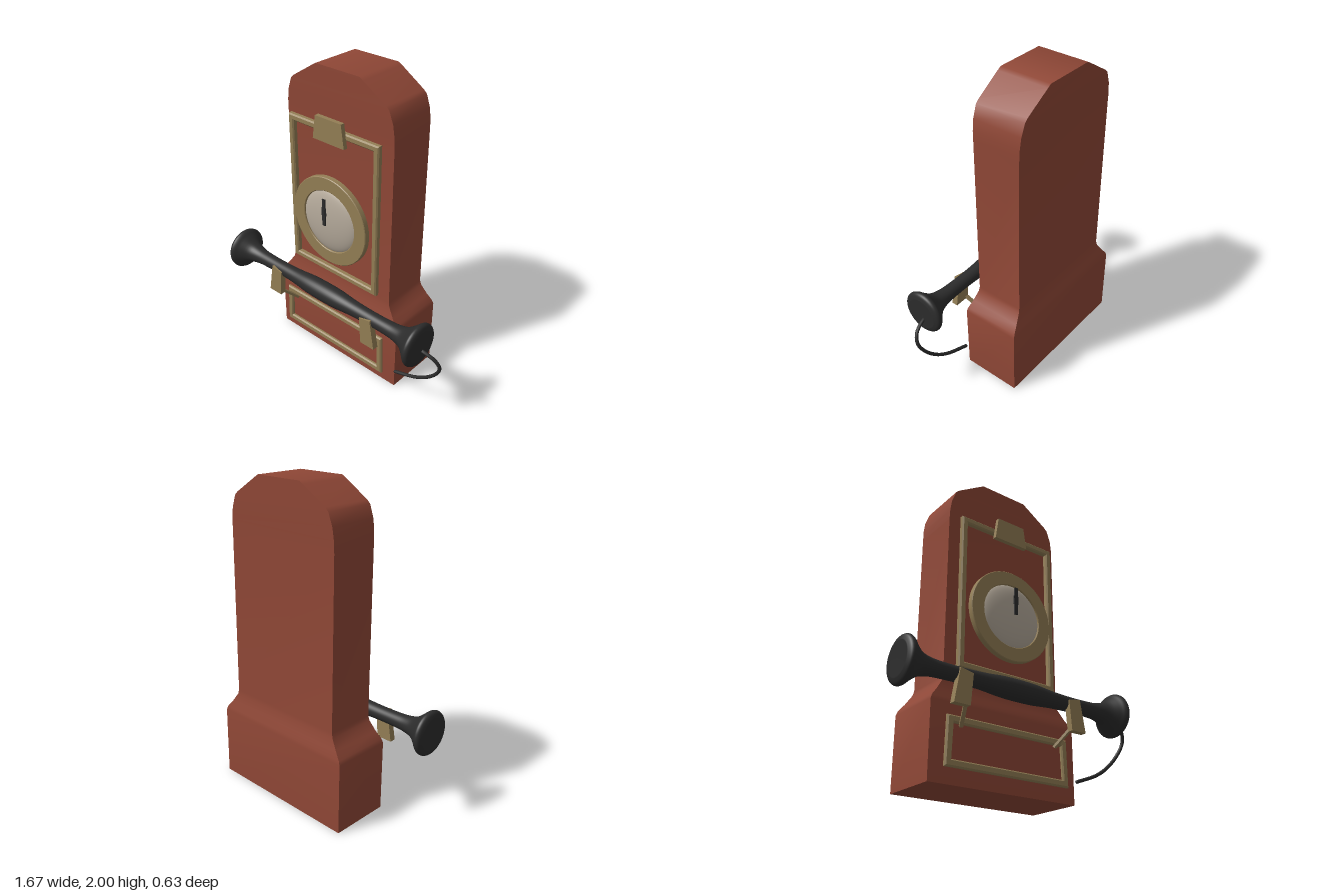
import * as THREE from 'three';
import { toCreasedNormals } from 'three/addons/utils/BufferGeometryUtils.js';

const CX = -0.057; // centre line of the case

function material(name, color) {
  const m = new THREE.MeshStandardMaterial({ color });
  m.name = name;
  return m;
}

// Rectangular sections [y, halfWidth, front z, back z] skinned into a solid
function loft(sections) {
  const rings = sections.map(([y, w, f, b]) => [
    [CX - w, y, f], [CX + w, y, f], [CX + w, y, b], [CX - w, y, b],
  ]);
  const pos = [];
  const quad = (a, b, c, d) => pos.push(...a, ...b, ...c, ...a, ...c, ...d);
  for (let i = 0; i < rings.length - 1; i++) {
    const lo = rings[i], hi = rings[i + 1];
    for (let k = 0; k < 4; k++) {
      const n = (k + 1) % 4;
      quad(lo[k], lo[n], hi[n], hi[k]);
    }
  }
  const bottom = rings[0], top = rings[rings.length - 1];
  quad(bottom[3], bottom[2], bottom[1], bottom[0]);
  quad(...top);
  const g = new THREE.BufferGeometry();
  g.setAttribute('position', new THREE.Float32BufferAttribute(pos, 3));
  return toCreasedNormals(g, 0.6);
}

const shapeOf = (pts) => new THREE.Shape(pts.map(([x, y]) => new THREE.Vector2(x, y)));

// Flat outline extruded from z0 to z1
function plate(shape, z0, z1, bevel = 0) {
  const g = new THREE.ExtrudeGeometry(shape, {
    depth: z1 - z0 - 2 * bevel, bevelEnabled: bevel > 0, bevelSize: bevel,
    bevelThickness: bevel, bevelOffset: -bevel, bevelSegments: 1, curveSegments: 48,
  });
  return g.translate(0, 0, z0 + bevel);
}

// Rectangular border whose top edge may be a little narrower
function border(wBottom, wTop, y0, y1, band) {
  const rect = (d) => [
    [CX - wBottom + d, y0 + d], [CX + wBottom - d, y0 + d],
    [CX + wTop - d, y1 - d], [CX - wTop + d, y1 - d],
  ];
  const s = shapeOf(rect(0));
  s.holes.push(new THREE.Path(rect(band).reverse().map(([x, y]) => new THREE.Vector2(x, y))));
  return s;
}

export function createModel() {
  const group = new THREE.Group();
  const red = material('red case', 0x8f4736);
  const brass = material('brass', 0x937e55);
  const black = material('black', 0x2c2c2c);
  const silver = material('silver', 0xb5aa9b);
  const add = (name, geometry, mat, parent = group) => {
    const mesh = new THREE.Mesh(geometry, mat);
    mesh.name = name;
    parent.add(mesh);
    return mesh;
  };

  // Case: wide base, sloped shoulder, tall body and chamfered crown
  add('case', loft([
    [0, 0.505, 0.065, -0.317],
    [0.45, 0.505, 0.065, -0.317],
    [0.475, 0.496, 0.061, -0.313],
    [0.52, 0.46, 0.047, -0.3],
    [0.58, 0.42, 0.034, -0.286],
    [0.61, 0.412, 0.031, -0.283],
    [1.65, 0.412, 0.031, -0.283],
    [1.72, 0.41, 0.033, -0.285],
    [1.79, 0.4, 0.035, -0.287],
    [1.865, 0.372, 0.037, -0.289],
    [1.885, 0.35, 0.037, -0.289],
    [1.985, 0.19, 0.04, -0.291],
    [2, 0.165, 0.04, -0.291],
  ]), red);

  // Brass borders and top tab
  add('upperFrame', plate(border(0.352, 0.352, 0.66, 1.667, 0.04), 0.055, 0.094, 0.008), brass);
  add('lowerFrame', plate(border(0.428, 0.42, 0.085, 0.368, 0.042), 0.083, 0.11, 0.008), brass);
  add('topTab', plate(shapeOf([
    [CX - 0.122, 1.585], [CX + 0.122, 1.585], [CX + 0.1, 1.732], [CX - 0.1, 1.732],
  ]), 0.092, 0.12), brass);

  // Dial: ring, domed face and pointer
  const dial = new THREE.Group();
  dial.name = 'dial';
  dial.position.set(CX, 1.066, 0);
  group.add(dial);
  const ring = new THREE.Shape().absarc(0, 0, 0.295, 0, Math.PI * 2);
  ring.holes.push(new THREE.Path().absarc(0, 0, 0.205, 0, Math.PI * 2, true));
  add('dialRing', toCreasedNormals(plate(ring, 0.088, 0.127, 0.004), 0.5), brass, dial);
  const dome = new THREE.SphereGeometry(0.217, 48, 16, 0, Math.PI * 2, 0, Math.PI / 2);
  dome.rotateX(Math.PI / 2).scale(1, 1, 0.24);
  add('dialFace', dome, silver, dial).position.z = 0.1;
  add('pointer', new THREE.BoxGeometry(0.022, 0.18, 0.009), black, dial).position.set(0, 0.084, 0.165);
  add('pointerWaist', new THREE.BoxGeometry(0.032, 0.055, 0.007), black, dial).position.set(0, 0.09, 0.165);

  // Handset: mirrored profile [distance from middle, radius] turned around x
  const half = [[0.12, 0.061], [0.25, 0.05], [0.4, 0.045], [0.53, 0.047], [0.6, 0.053],
    [0.66, 0.07], [0.71, 0.108], [0.735, 0.132], [0.753, 0.14], [0.771, 0.13], [0.781, 0.1]];
  const profile = [
    ...half.slice().reverse().map(([d, r]) => new THREE.Vector2(r, -d)),
    new THREE.Vector2(0.064, 0),
    ...half.map(([d, r]) => new THREE.Vector2(r, d)),
  ];
  const smooth = new THREE.SplineCurve(profile).getPoints(88);
  const outline = [new THREE.Vector2(0, -0.778), ...smooth, new THREE.Vector2(0, 0.778)];
  const handset = new THREE.LatheGeometry(outline, 40).rotateZ(-Math.PI / 2);
  add('handset', handset, black).position.set(CX, 0.568, 0.178);

  // Cradle hooks with their slanted arms
  for (const [side, name] of [[1, 'left'], [-1, 'right']]) {
    const pts = [[0.343, 0.575], [0.358, 0.39], [0.463, 0.39], [0.428, 0.592]]
      .map(([x, y]) => [CX + side * x, y]);
    add(name + 'Hook', plate(shapeOf(pts), 0.192, 0.232), brass);
    const from = new THREE.Vector3(CX + side * 0.372, 0.41, 0.205);
    const to = new THREE.Vector3(CX + side * 0.33, 0.312, 0.1);
    const arm = add(name + 'Arm', new THREE.BoxGeometry(0.022, 0.016, from.distanceTo(to)), brass);
    arm.position.copy(from).lerp(to, 0.5);
    arm.lookAt(to);
  }

  // Cord from the handset end back to the base
  const cord = new THREE.CatmullRomCurve3([
    [0.7, 0.532, 0.168], [0.74, 0.522, 0.163], [0.8, 0.49, 0.147], [0.823, 0.43, 0.125],
    [0.79, 0.35, 0.105], [0.71, 0.26, 0.09], [0.62, 0.2, 0.083], [0.465, 0.14, 0.077],
  ].map((p) => new THREE.Vector3(...p)));
  add('cord', new THREE.TubeGeometry(cord, 48, 0.011, 10), black);
  for (const t of [0, 1]) {
    add('cordEnd', new THREE.SphereGeometry(0.011, 10, 8), black).position.copy(cord.getPoint(t));
  }
  return group;
}
